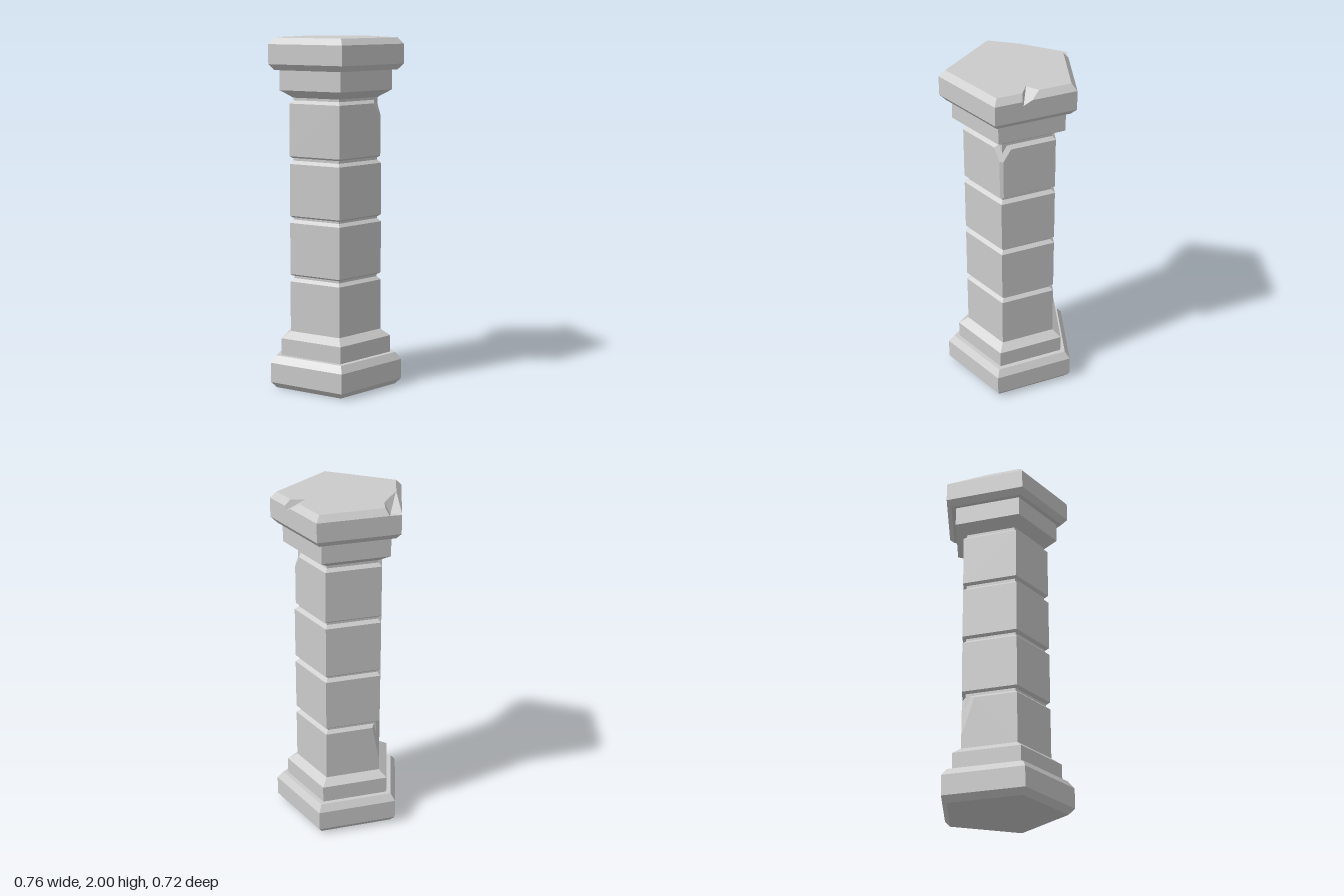
import * as THREE from 'three';
import { ConvexGeometry } from 'three/addons/geometries/ConvexGeometry.js';

const CENTRE_Z = 0.0375;
const V = (x, y, z) => new THREE.Vector3(x, y, z);

// Corner points of a stack of pentagons; profile = [half width, height] pairs
function pentagons(profile) {
  const points = [];
  for (const [w, y] of profile) {
    const r = w / Math.sin(Math.PI * 0.4);
    for (let i = 0; i < 5; i++) {
      const a = i * Math.PI * 0.4;
      points.push(V(r * Math.sin(a), y, CENTRE_Z - r * Math.cos(a)));
    }
  }
  return points;
}

// Corners of the convex hull of a point set, without duplicates
function hullCorners(points) {
  const pos = new ConvexGeometry(points).attributes.position;
  const unique = new Map();
  for (let i = 0; i < pos.count; i++) {
    const p = new THREE.Vector3().fromBufferAttribute(pos, i);
    unique.set(p.toArray().map((v) => Math.round(v * 1e5)).join(), p);
  }
  return [...unique.values()];
}

// The part of a convex solid on one side of a plane
function clip(points, plane, side) {
  const dist = points.map((p) => plane.distanceToPoint(p) * side);
  const kept = points.filter((p, i) => dist[i] >= -1e-6);
  if (kept.length === points.length) return points;
  points.forEach((p, i) => points.forEach((q, j) => {
    if (dist[i] > 1e-6 && dist[j] < -1e-6) {
      kept.push(p.clone().lerp(q, dist[i] / (dist[i] - dist[j])));
    }
  }));
  if (!dist.some((d) => d > 1e-6) || kept.length < 4) return null;
  return hullCorners(kept);
}

// Removes a chip bounded by planes (three points each); 'gone' lies in the chip
function carve(pieces, gone, triples) {
  const result = [];
  for (const piece of pieces) {
    let rest = piece;
    for (const t of triples) {
      if (!rest) break;
      const [a, b, c] = t.map((p) => V(...p));
      const plane = new THREE.Plane().setFromCoplanarPoints(a, b, c);
      if (plane.distanceToPoint(V(...gone)) < 0) plane.negate();
      const solid = clip(rest, plane, -1);
      if (solid) result.push(solid);
      rest = clip(rest, plane, 1);
    }
  }
  return result;
}

export function createModel() {
  const model = new THREE.Group();
  model.name = 'pillar';
  const stone = new THREE.MeshStandardMaterial({ color: 0xcccccc, flatShading: true });

  function add(name, pieces) {
    const part = new THREE.Group();
    part.name = name;
    pieces.forEach((points) => {
      const mesh = new THREE.Mesh(new ConvexGeometry(points), stone);
      mesh.name = name + 'Stone';
      part.add(mesh);
    });
    model.add(part);
  }

  // Foot of the pillar
  add('plinth', [pentagons([[0.343, 0], [0.378, 0.035], [0.378, 0.15], [0.345, 0.19]])]);
  add('baseStep', [pentagons([[0.315, 0.18], [0.315, 0.288], [0.26, 0.325]])]);

  // Shaft: a core seen in the grooves, and four bevelled blocks
  add('shaftCore', [pentagons([[0.237, 0.3], [0.237, 1.68]])]);
  const spans = [[0.315, 0.635], [0.65, 0.975], [0.988, 1.312], [1.328, 1.652]];
  spans.forEach(([bottom, top], i) => {
    let pieces = [pentagons([
      [i ? 0.245 : 0.26, bottom], [0.26, bottom + 0.01], [0.26, top - 0.018], [0.237, top],
    ])];
    if (i === 0) { // broken corner of the lowest block
      pieces = carve(pieces, [-0.3, 0.63, -0.06],
        [[[-0.26, 0.4, -0.047], [-0.222, 0.635, -0.076], [-0.235, 0.635, 0.03]]]);
    }
    if (i === 3) { // worn edge and broken corner of the highest block
      pieces = carve(pieces, [0.3, 1.5, -0.06],
        [[[0.256, 1.3, -0.034], [0.256, 1.6, -0.034], [0.249, 1.5, -0.055]]]);
      pieces = carve(pieces, [0.3, 1.64, -0.06],
        [[[0.243, 1.63, 0.005], [0.215, 1.63, -0.08], [0.256, 1.555, -0.045]]]);
    }
    add('shaftBlock' + (i + 1), pieces);
  });

  // Head of the pillar
  add('capitalStep', [pentagons([[0.235, 1.665], [0.315, 1.71], [0.315, 1.83]])]);
  let cap = [pentagons([[0.345, 1.822], [0.378, 1.855], [0.378, 1.965], [0.343, 2]])];

  // Wide chip on the right edge of the cap
  const corner = [-0.378, 1.963, -0.085], pit = [-0.305, 1.95, -0.06];
  const rim = [-0.26, 2, -0.03];
  cap = carve(cap, [-0.31, 1.995, -0.04], [
    [corner, pit, [-0.268, 2, 0.15]],
    [corner, pit, [-0.29, 1.965, -0.15]],
    [pit, rim, [-0.268, 2, 0.15]],
    [pit, rim, [-0.295, 2, -0.115]],
  ]);

  // Small notch on the back left edge of the cap
  const deep = [0.25, 1.94, -0.18], inner = [0.15, 2, -0.135];
  cap = carve(cap, [0.2, 1.995, -0.18], [
    [[0.15, 2, -0.215], inner, deep],
    [inner, [0.23, 2, -0.16], deep],
    [[0.15, 2, -0.215], [0.205, 2, -0.21], [0.205, 1.9, -0.209]],
  ]);
  add('cap', cap);

  return model;
}
